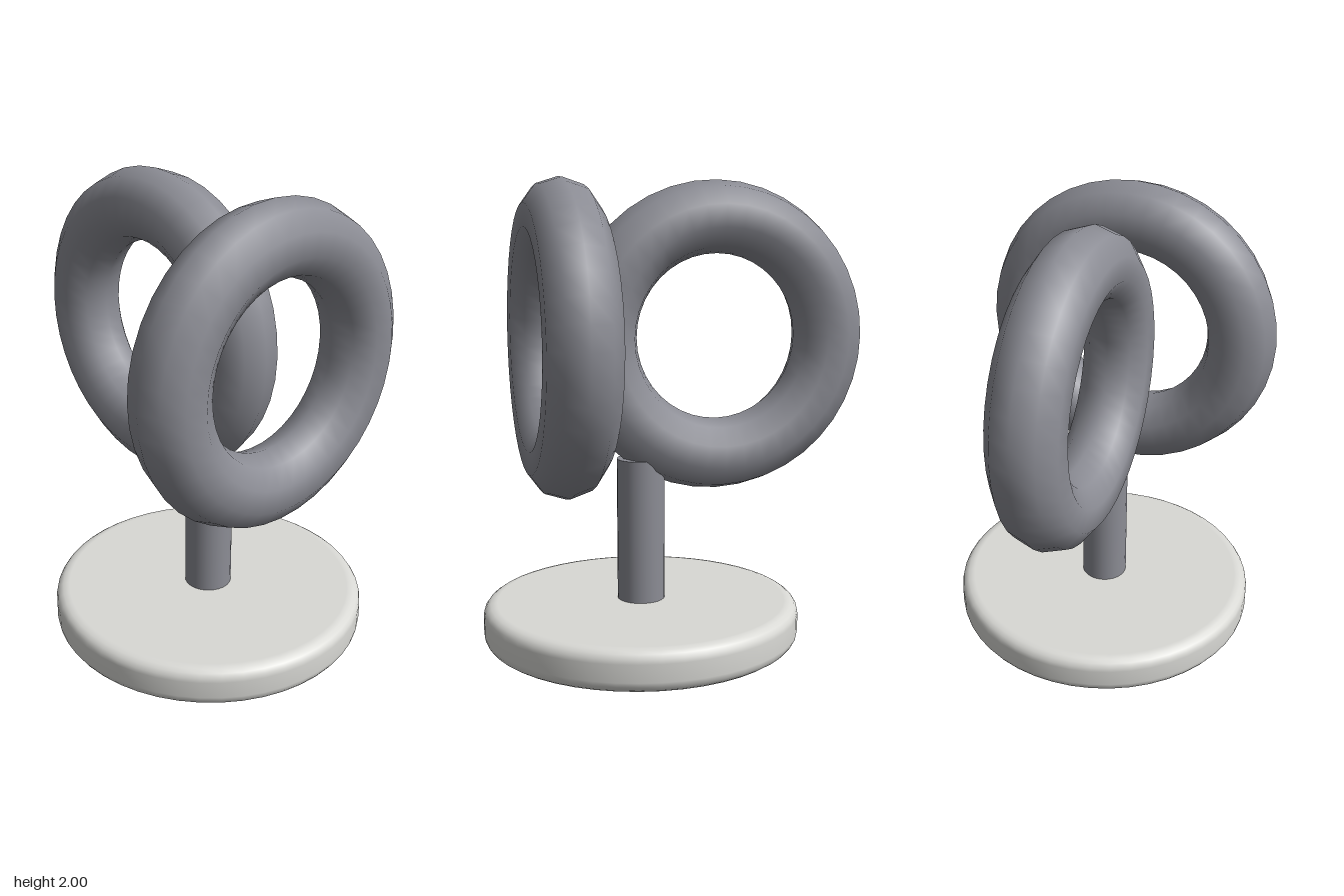
import * as THREE from 'three';

const ringGrey = new THREE.MeshStandardMaterial({ color: 0x8c8d95 });
ringGrey.name = 'ringGrey';
const baseWhite = new THREE.MeshStandardMaterial({ color: 0xd9d9d5 });
baseWhite.name = 'baseWhite';

const AXIS_X = 0.163; // shared axis of base and stem

function addPart(group, name, geometry, material, x, y, z = 0) {
  const mesh = new THREE.Mesh(geometry, material);
  mesh.name = name;
  mesh.position.set(x, y, z);
  group.add(mesh);
  return mesh;
}

// Disc profile with rounded rims, from bottom centre to top centre
function discProfile(radius, height, bevel, steps = 4) {
  const points = [new THREE.Vector2(0, 0), new THREE.Vector2(radius - bevel - 0.01, 0)];
  for (const [cy, start] of [[bevel, -Math.PI / 2], [height - bevel, 0]]) {
    for (let i = 0; i <= steps; i++) {
      const a = start + (i / steps) * Math.PI / 2;
      points.push(new THREE.Vector2(radius - bevel + bevel * Math.cos(a), cy + bevel * Math.sin(a)));
    }
  }
  points.push(new THREE.Vector2(radius - bevel - 0.01, height), new THREE.Vector2(0, height));
  return points;
}

export function createModel() {
  const model = new THREE.Group();
  model.name = 'ringStand';

  // Round foot
  addPart(model, 'base', new THREE.LatheGeometry(discProfile(0.692, 0.174, 0.05), 48), baseWhite, AXIS_X, 0);

  // Short post
  addPart(model, 'stem', new THREE.CylinderGeometry(0.104, 0.104, 0.64, 24), ringGrey, AXIS_X, 0.48);

  // Two upright rings at right angles
  const ring = new THREE.TorusGeometry(0.518, 0.157, 10, 40);
  addPart(model, 'frontFacingRing', ring, ringGrey, -0.183, 1.325);
  addPart(model, 'sideFacingRing', ring, ringGrey, 0.511, 1.325).rotation.y = Math.PI / 2;

  return model;
}
